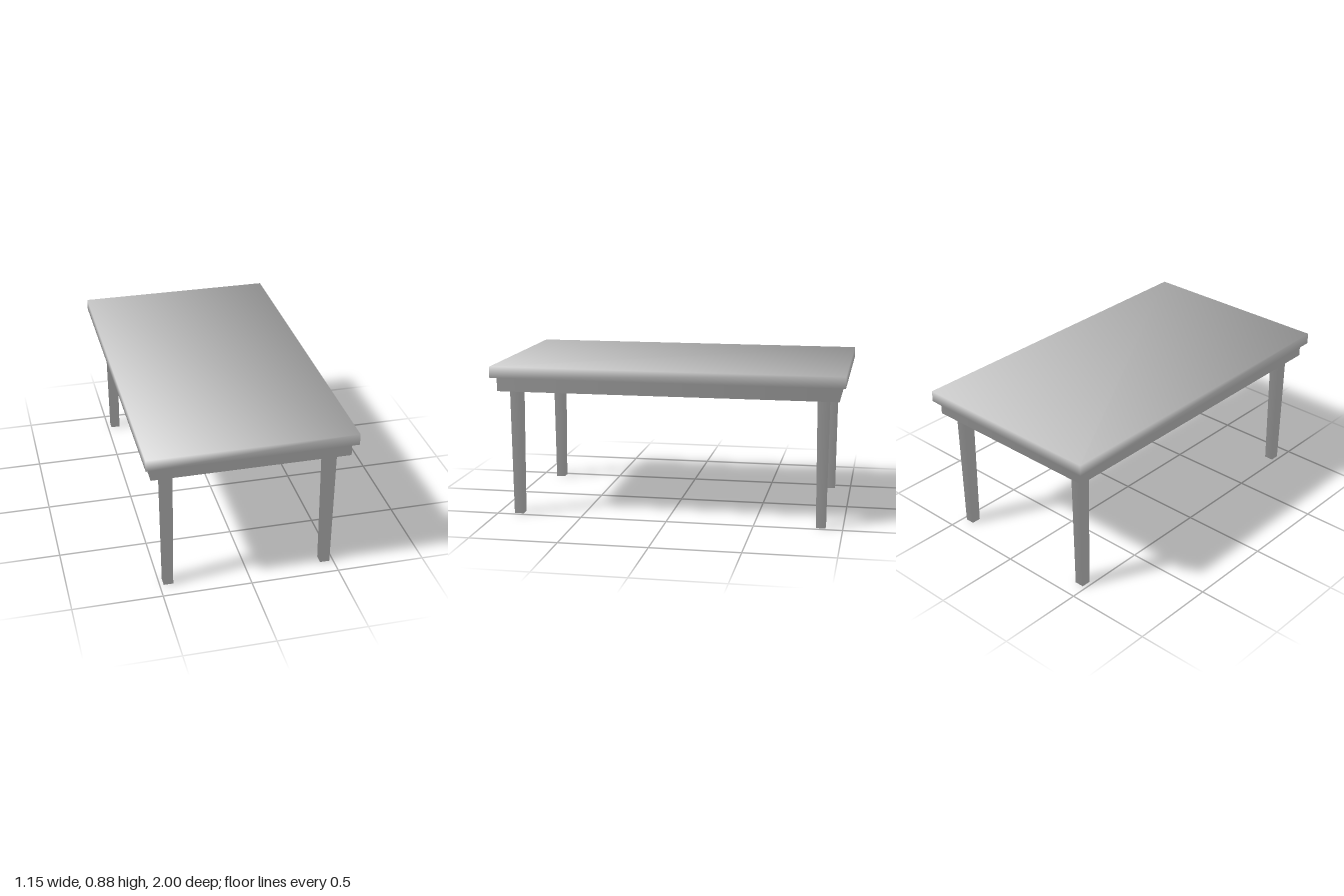
import * as THREE from 'three';

const grey = new THREE.MeshStandardMaterial({ color: 0xcccccc });
grey.name = 'plain grey';

// Rectangular loft, from top to bottom. Each ring: [y, halfX, halfZ, vertical tilt of the corner normals].
// Corners are shared between faces, so the shading rolls softly over the edges.
function loftBox(rings, capTop) {
  const corners = [[1, 1], [1, -1], [-1, -1], [-1, 1]];
  const pos = [], nor = [], idx = [];
  for (const [y, hx, hz, tilt] of rings) {
    for (const [sx, sz] of corners) {
      const n = new THREE.Vector3(sx, tilt, sz).normalize();
      pos.push(sx * hx, y, sz * hz);
      nor.push(n.x, n.y, n.z);
    }
  }
  for (let r = 0; r < rings.length - 1; r++) {
    for (let i = 0; i < 4; i++) {
      const a = r * 4 + i, b = r * 4 + (i + 1) % 4;
      idx.push(a, a + 4, b, b, a + 4, b + 4);
    }
  }
  const e = (rings.length - 1) * 4;
  if (capTop) idx.push(0, 1, 2, 0, 2, 3);
  idx.push(e, e + 2, e + 1, e, e + 3, e + 2);
  const g = new THREE.BufferGeometry();
  g.setAttribute('position', new THREE.Float32BufferAttribute(pos, 3));
  g.setAttribute('normal', new THREE.Float32BufferAttribute(nor, 3));
  g.setIndex(idx);
  return g;
}

export function createModel() {
  const table = new THREE.Group();
  table.name = 'table';

  // Slab stepping in to the apron below it
  const top = new THREE.Mesh(loftBox([
    [0.877, 0.575, 1, 1],
    [0.813, 0.575, 1, -1],
    [0.813, 0.545, 0.967, -1],
    [0.733, 0.545, 0.967, -1],
  ], true), grey);
  top.name = 'tabletop';
  table.add(top);

  // Four tapered legs, open where they meet the apron
  const legShape = loftBox([[0.733, 0.033, 0.033, -1], [0, 0.027, 0.027, -1]], false);
  for (const [sx, x] of [['left', 0.451], ['right', -0.451]]) {
    for (const [sz, z] of [['front', 0.877], ['back', -0.877]]) {
      const leg = new THREE.Mesh(legShape, grey);
      leg.name = `${sz} ${sx} leg`;
      leg.position.set(x, 0, z);
      table.add(leg);
    }
  }
  return table;
}
